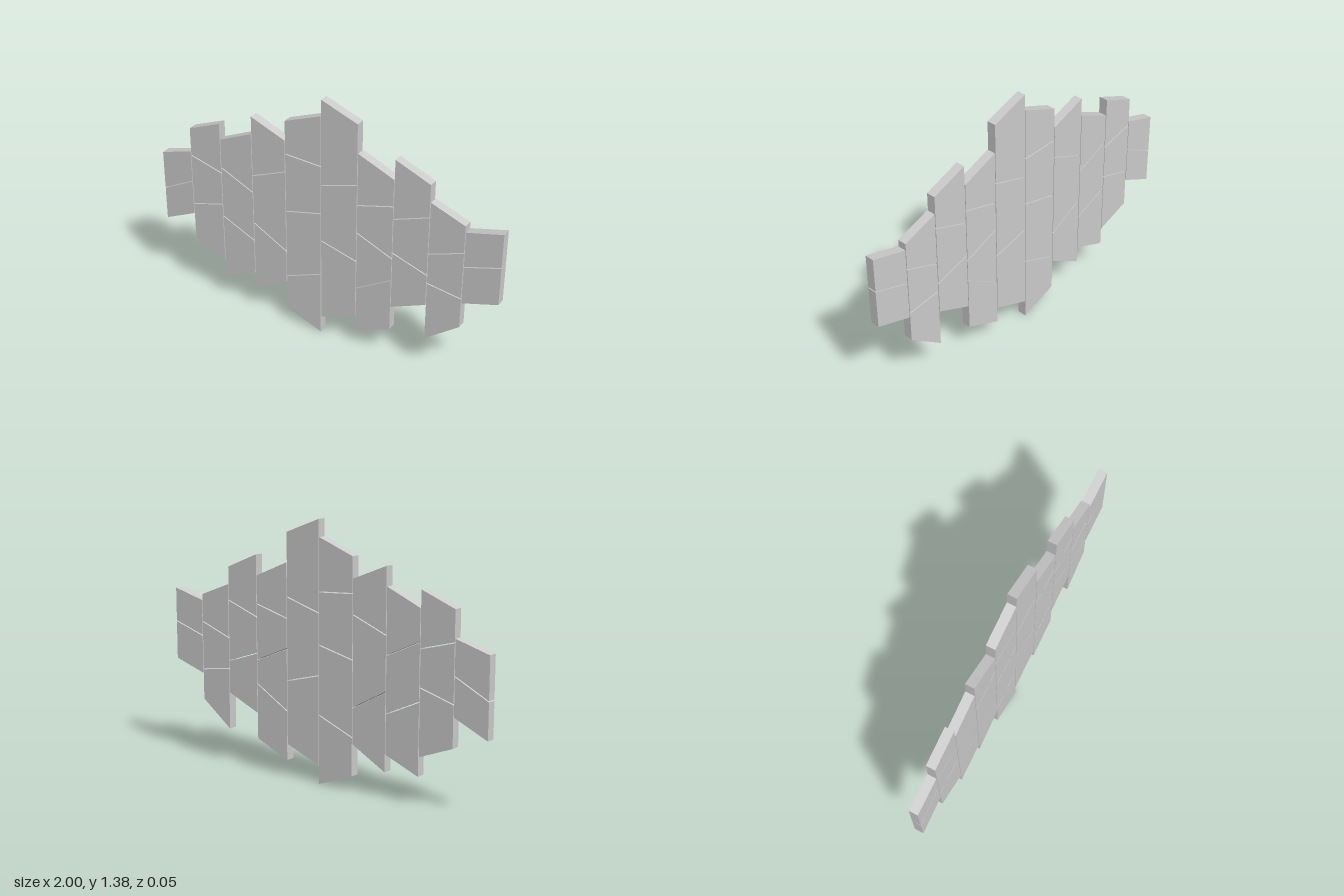
import * as THREE from 'three';

const DEPTH = 0.05;
const CUT_GAP = 0.006;
const SIDE_GAP = 0.004;

// Column borders along x
const borders = [-1.002, -0.81, -0.615, -0.417, -0.213, 0, 0.21, 0.415, 0.613, 0.805, 1.002];

// Per column, bottom to top: [height at left edge, height at right edge] of each slanted cut
const columns = [
  [[0.40, 0.485], [0.59, 0.685], [0.81, 0.865]],
  [[0.33, 0.255], [0.547, 0.602], [0.845, 0.793], [1.005, 1.08]],
  [[0.155, 0.232], [0.53, 0.44], [0.825, 0.735], [0.99, 1.075]],
  [[0.14, 0.25], [0.55, 0.44], [0.835, 0.915], [1.175, 1.095]],
  [[0.08, 0], [0.285, 0.368], [0.685, 0.735], [1.02, 1.008], [1.205, 1.285]],
  [[0.10, 0.178], [0.575, 0.52], [0.90, 0.962], [1.375, 1.297]],
  [[0.09, 0.175], [0.357, 0.475], [0.69, 0.605], [0.85, 0.905], [1.14, 1.055]],
  [[0.315, 0.398], [0.64, 0.575], [0.835, 0.905], [1.165, 1.085]],
  [[0.195, 0.335], [0.53, 0.503], [0.70, 0.768], [0.99, 0.918]],
  [[0.48, 0.54], [0.69, 0.75], [0.885, 0.935]],
];

// One slanted plank piece between two cuts
function makePlank(x0, x1, low, high, material) {
  const shape = new THREE.Shape([
    new THREE.Vector2(x0, low[0]),
    new THREE.Vector2(x1, low[1]),
    new THREE.Vector2(x1, high[1]),
    new THREE.Vector2(x0, high[0]),
  ]);
  const geometry = new THREE.ExtrudeGeometry(shape, { depth: DEPTH, bevelEnabled: false });
  geometry.translate(0, 0, -DEPTH / 2);
  return new THREE.Mesh(geometry, material);
}

export function createModel() {
  const model = new THREE.Group();
  model.name = 'plankPanel';
  const material = new THREE.MeshStandardMaterial({ color: 0xcccccc, flatShading: true });

  columns.forEach((cuts, c) => {
    const column = new THREE.Group();
    column.name = `plankColumn${c + 1}`;
    const x0 = borders[c] + SIDE_GAP / 2;
    const x1 = borders[c + 1] - SIDE_GAP / 2;

    for (let i = 0; i < cuts.length - 1; i++) {
      // Inner cuts leave a narrow joint; outer ends keep their full height
      const lift = i > 0 ? CUT_GAP / 2 : 0;
      const drop = i < cuts.length - 2 ? CUT_GAP / 2 : 0;
      const low = cuts[i].map((y) => y + lift);
      const high = cuts[i + 1].map((y) => y - drop);
      const plank = makePlank(x0, x1, low, high, material);
      plank.name = `plank${c + 1}_${i + 1}`;
      column.add(plank);
    }
    model.add(column);
  });
  return model;
}
